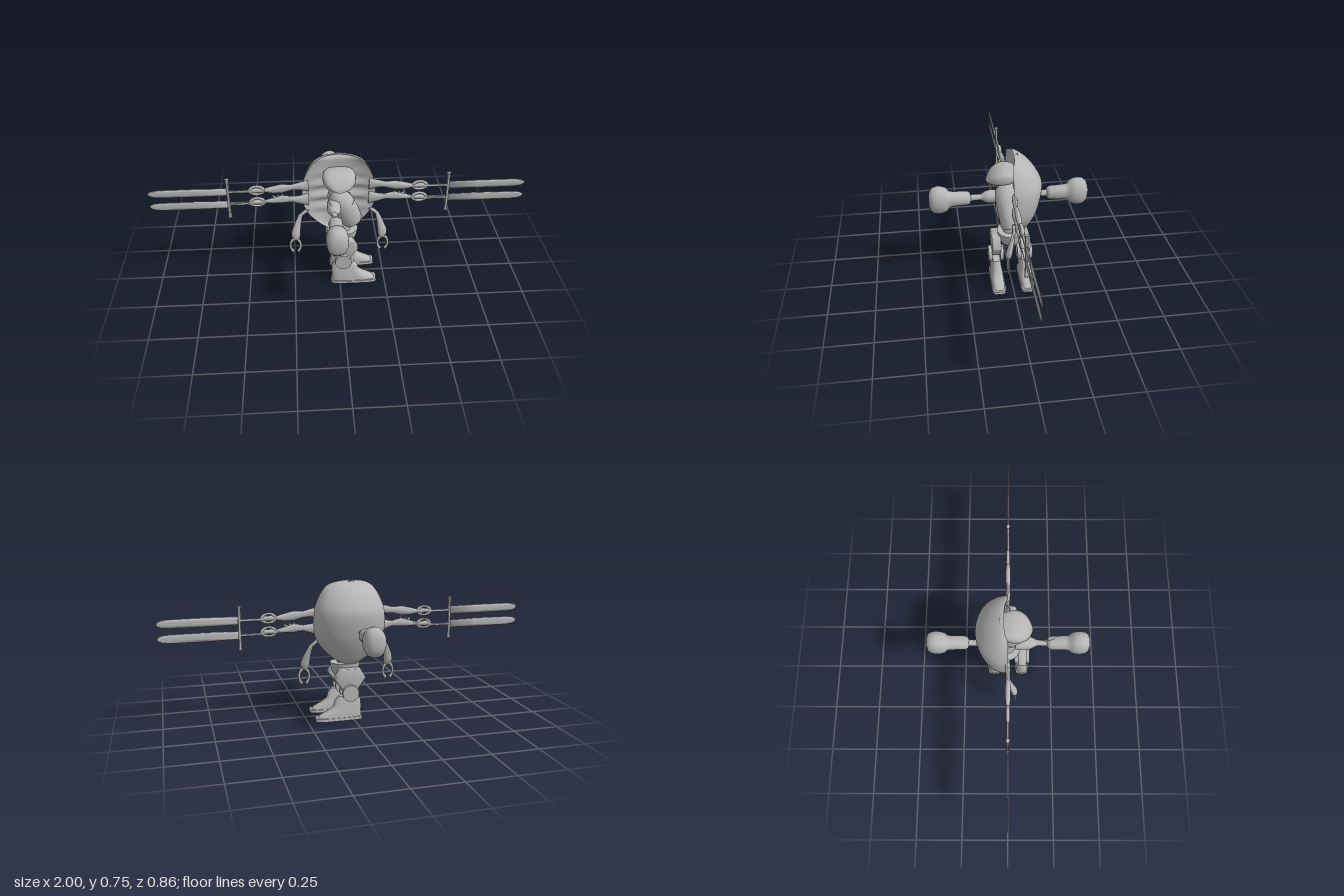
import * as THREE from 'three';
import { toCreasedNormals } from 'three/addons/utils/BufferGeometryUtils.js';

const grey = new THREE.MeshStandardMaterial({ color: 0xb6b6b6, side: THREE.DoubleSide });
grey.name = 'plain grey';

const X = new THREE.Vector3(1, 0, 0), Y = new THREE.Vector3(0, 1, 0), Z = new THREE.Vector3(0, 0, 1);

// Capped loft: sections are [x, y, z, radius along the hint, radius across it];
// the sections stand square to the given axis, or to the line from first to last
function loft(sections, hint, { power = 2, sides = 24, crease = 0.7, axis } = {}) {
  const centres = sections.map(s => new THREE.Vector3(s[0], s[1], s[2]));
  const D = axis ?? centres[centres.length - 1].clone().sub(centres[0]).normalize();
  const U = hint.clone().addScaledVector(D, -hint.dot(D)).normalize();
  const V = D.clone().cross(U);
  const pos = [], index = [];
  const round = t => Math.sign(t) * Math.abs(t) ** (2 / power);
  sections.forEach((s, i) => {
    for (let j = 0; j < sides; j++) {
      const a = (j / sides) * Math.PI * 2;
      const p = centres[i].clone().addScaledVector(U, round(Math.cos(a)) * s[3])
        .addScaledVector(V, round(Math.sin(a)) * s[4]);
      pos.push(p.x, p.y, p.z);
    }
  });
  const last = sections.length - 1, c0 = sections.length * sides;
  pos.push(...centres[0].toArray(), ...centres[last].toArray());
  for (let j = 0; j < sides; j++) {
    const k = (j + 1) % sides, e = last * sides;
    for (let i = 0; i < last; i++) {
      const a = i * sides, b = a + sides;
      index.push(a + j, a + k, b + k, a + j, b + k, b + j);
    }
    index.push(c0, k, j, c0 + 1, e + j, e + k);
  }
  const g = new THREE.BufferGeometry();
  g.setAttribute('position', new THREE.Float32BufferAttribute(pos, 3));
  g.setIndex(index);
  return toCreasedNormals(g, crease);
}

// Domed back (front = false) or rippled chest plate (front = true), from [y, half width, depth]
const shellRows = [
  [0.29, 0.03, 0.055], [0.32, 0.085, 0.085], [0.36, 0.13, 0.108], [0.4, 0.163, 0.128],
  [0.45, 0.187, 0.147], [0.5, 0.195, 0.16], [0.56, 0.194, 0.17], [0.6, 0.188, 0.167],
  [0.65, 0.17, 0.142], [0.69, 0.148, 0.112], [0.72, 0.122, 0.08], [0.74, 0.08, 0.05], [0.75, 0.01, 0.022],
];
function shell(front) {
  const curve = new THREE.CatmullRomCurve3(shellRows.map(r => new THREE.Vector3(...r)));
  const rows = 60, cols = 32, pos = [], index = [];
  for (let i = 0; i <= rows; i++) {
    const p = curve.getPoint(i / rows), y = p.x, w = p.y, d = p.z;
    const rim = -0.02 * THREE.MathUtils.smoothstep(y, 0.72, 0.75);
    for (let j = 0; j <= cols; j++) {
      const a = Math.PI * (1 - j / cols), u = Math.cos(a);
      const ridges = 0.012 * Math.cos((y - 0.5) * 85) * Math.exp(-(((y - 0.51) / 0.1) ** 2));
      const z = front ? rim + (1 - u * u) * (ridges - 0.025) : rim - Math.max(d + rim, 0) * Math.sin(a) ** 0.85;
      pos.push(u * w, y, z);
    }
  }
  for (let i = 0; i < rows; i++) for (let j = 0; j < cols; j++) {
    const a = i * (cols + 1) + j, b = a + cols + 1;
    if (front) index.push(a, a + 1, b + 1, a, b + 1, b);
    else index.push(a, b + 1, a + 1, a, b, b + 1);
  }
  const g = new THREE.BufferGeometry();
  g.setAttribute('position', new THREE.Float32BufferAttribute(pos, 3));
  g.setIndex(index);
  g.computeVertexNormals();
  return g;
}

export function createModel() {
  const model = new THREE.Group();
  model.name = 'armouredInsectRobot';
  const add = (name, geometry, parent = model) => {
    const m = new THREE.Mesh(geometry, grey);
    m.name = name;
    parent.add(m);
    return m;
  };

  // Body
  add('backShell', shell(false));
  add('chestPlate', shell(true));
  add('belly', loft([[0.078, 0.343, 0.013, 0.045, 0.038], [0.072, 0.36, 0.013, 0.056, 0.045], [0.045, 0.42, 0.015, 0.064, 0.052],
    [0.01, 0.49, 0.018, 0.064, 0.06], [-0.012, 0.54, 0.015, 0.054, 0.058], [-0.025, 0.572, 0.01, 0.028, 0.032]], X));
  add('waist', loft([[0.02, 0.28, 0, 0.045, 0.04], [0.02, 0.39, 0, 0.04, 0.035]], X));
  add('pelvis', loft([[0.02, 0.225, 0, 0.05, 0.038], [0.02, 0.233, 0, 0.064, 0.052], [0.02, 0.255, 0, 0.075, 0.063],
    [0.02, 0.28, 0, 0.081, 0.068], [0.02, 0.3, 0, 0.084, 0.071]], X, { crease: 1 }));

  // Head and feelers
  add('head', loft([[0, 0.643, -0.025, 0.07, 0.03], [0, 0.641, 0.005, 0.083, 0.04], [0, 0.64, 0.035, 0.087, 0.043],
    [0, 0.636, 0.065, 0.083, 0.039], [0, 0.626, 0.095, 0.066, 0.027], [0, 0.614, 0.115, 0.04, 0.012],
    [0, 0.606, 0.127, 0.012, 0.003]], X, { power: 3.2, sides: 32, crease: 1, axis: Z }));
  for (const s of [-1, 1]) {
    const path = new THREE.CatmullRomCurve3([[0.03, 0.11], [0.05, 0.14], [0.063, 0.18], [0.06, 0.215], [0.05, 0.24]]
      .map(([x, z]) => new THREE.Vector3(s * x, 0.606, z)));
    add('feeler', new THREE.TubeGeometry(path, 16, 0.0015, 6));
  }

  // Heavy punching arms, one forward and one back: [z, x radius, y radius]
  const punch = [[0.09, 0.017, 0.017], [0.17, 0.016, 0.016], [0.206, 0.018, 0.018], [0.21, 0.028, 0.03], [0.225, 0.036, 0.037],
    [0.3, 0.037, 0.04], [0.322, 0.04, 0.045], [0.333, 0.05, 0.064], [0.355, 0.056, 0.074], [0.38, 0.057, 0.078],
    [0.405, 0.053, 0.073], [0.422, 0.043, 0.056], [0.43, 0.025, 0.032]];
  for (const s of [-1, 1])
    add(s > 0 ? 'frontPunchingArm' : 'backPunchingArm',
      loft(punch.map(([z, a, b]) => [-0.03, 0.488, s * z, a, b]), X, { power: 2.2, crease: 1 }));
  add('frontShoulder', loft([[-0.03, 0.488, 0.04, 0.035, 0.035], [-0.03, 0.488, 0.11, 0.036, 0.036],
    [-0.03, 0.488, 0.125, 0.03, 0.032], [-0.03, 0.488, 0.15, 0.017, 0.017]], X, { crease: 1 }));

  for (const s of [-1, 1]) {
    const side = new THREE.Group();
    side.name = s > 0 ? 'leftSwordArms' : 'rightSwordArms';
    model.add(side);
    const limb = (name, rows, hint = Y, crease = 0.9) =>
      add(name, loft(rows.map(([x, ...r]) => [s * x, ...r]), hint, { sides: 16, crease }), side);

    // Paired sword arms
    limb('upperArm', [[0.16, 0.575, -0.005, 0.034, 0.014], [0.21, 0.577, 0, 0.022, 0.012], [0.25, 0.571, 0, 0.017, 0.01],
      [0.3, 0.566, 0, 0.026, 0.014], [0.35, 0.56, 0, 0.021, 0.014], [0.4, 0.558, 0, 0.009, 0.009]]);
    limb('lowerArm', [[0.16, 0.49, -0.005, 0.038, 0.014], [0.21, 0.493, 0, 0.025, 0.012], [0.25, 0.498, 0, 0.016, 0.01],
      [0.3, 0.5, 0, 0.024, 0.014], [0.35, 0.493, 0, 0.016, 0.013], [0.4, 0.487, 0, 0.008, 0.008]]);
    for (let i = 0; i < 3; i++) {
      const x = 0.29 + i * 0.025;
      limb('armSpike', [[x, 0.51, 0, 0.01, 0.005], [x + 0.015, 0.537 - i * 0.004, 0, 0.001, 0.001]], X);
    }

    // Hands, grips and blades
    for (const [hy, by] of [[0.559, 0.555], [0.487, 0.477]]) {
      const ring = add('handRing', new THREE.TorusGeometry(0.03, 0.008, 8, 24), side);
      ring.scale.set(1.2, 0.8, 1.2);
      ring.position.set(s * 0.433, hy, 0);
      limb('palm', [[0.385, hy, 0, 0.008, 0.008], [0.41, hy, 0, 0.014, 0.012], [0.45, hy, 0, 0.013, 0.012],
        [0.485, by, 0, 0.007, 0.007]]);
      limb('swordGrip', [[0.46, by, 0, 0.007, 0.007], [0.58, by, 0, 0.007, 0.007]]);
      limb('blade', [[0.58, by, 0, 0.022, 0.004], [0.75, by, 0, 0.025, 0.004], [0.94, by, 0, 0.024, 0.003],
        [0.975, by, 0, 0.02, 0.003], [0.992, by, 0, 0.013, 0.002], [1, by, 0, 0.004, 0.001]], Y, 2.5);
    }
    limb('crossGuard', [[0.584, 0.398, 0, 0.012, 0.01], [0.584, 0.41, 0, 0.009, 0.008], [0.584, 0.515, 0, 0.008, 0.007],
      [0.584, 0.62, 0, 0.009, 0.008], [0.584, 0.632, 0, 0.012, 0.01]], X);

    // Small hanging arm with a pincer
    limb('hangingArm', [[0.17, 0.425, 0, 0.012, 0.01], [0.207, 0.395, 0.005, 0.011, 0.008], [0.223, 0.35, 0.018, 0.017, 0.012],
      [0.235, 0.3, 0.033, 0.026, 0.017], [0.239, 0.275, 0.038, 0.025, 0.016], [0.24, 0.262, 0.04, 0.014, 0.01]], X);
    const gap = 0.35;
    const pincer = add('pincer', new THREE.TorusGeometry(0.028, 0.007, 8, 24, Math.PI * 2 - gap * 2)
      .rotateZ(-Math.PI / 2 + gap), side);
    pincer.scale.set(1, 1.55, 0.8);
    pincer.position.set(s * 0.24, 0.22, 0.04);
  }

  // Legs, toes pointing to the model's left
  const thighShape = new THREE.Shape([[-0.07, 0.23], [-0.025, 0.165], [0.055, 0.16], [0.1, 0.225], [0.072, 0.28], [-0.04, 0.28]]
    .map(p => new THREE.Vector2(...p)));
  for (const s of [-1, 1]) {
    const leg = new THREE.Group();
    leg.name = s > 0 ? 'frontLeg' : 'backLeg';
    leg.position.z = s * 0.08;
    model.add(leg);
    add('thigh', toCreasedNormals(new THREE.ExtrudeGeometry(thighShape, { depth: 0.036, bevelThickness: 0.006,
      bevelSize: 0.006, bevelOffset: -0.006, bevelSegments: 2 }).translate(0, 0, -0.018), 1.1), leg);
    for (const k of [-1, 1])
      add('kneeDisc', new THREE.CylinderGeometry(0.045, 0.045, 0.02, 24).rotateX(Math.PI / 2)
        .translate(0.018, 0.15, k * 0.032), leg);
    add('boot', loft([[0.073, 0.014, 0, 0.12, 0.036], [0.066, 0.03, 0, 0.112, 0.034], [0.043, 0.052, 0, 0.088, 0.032],
      [0.029, 0.075, 0, 0.075, 0.029], [0.027, 0.105, 0, 0.071, 0.025], [0.022, 0.13, 0, 0.055, 0.021]],
    X, { power: 3.5, axis: Y }), leg);
    add('sole', loft([[0.077, 0, 0, 0.128, 0.04], [0.077, 0.016, 0, 0.127, 0.039]], X, { power: 5 }), leg);
  }
  return model;
}
